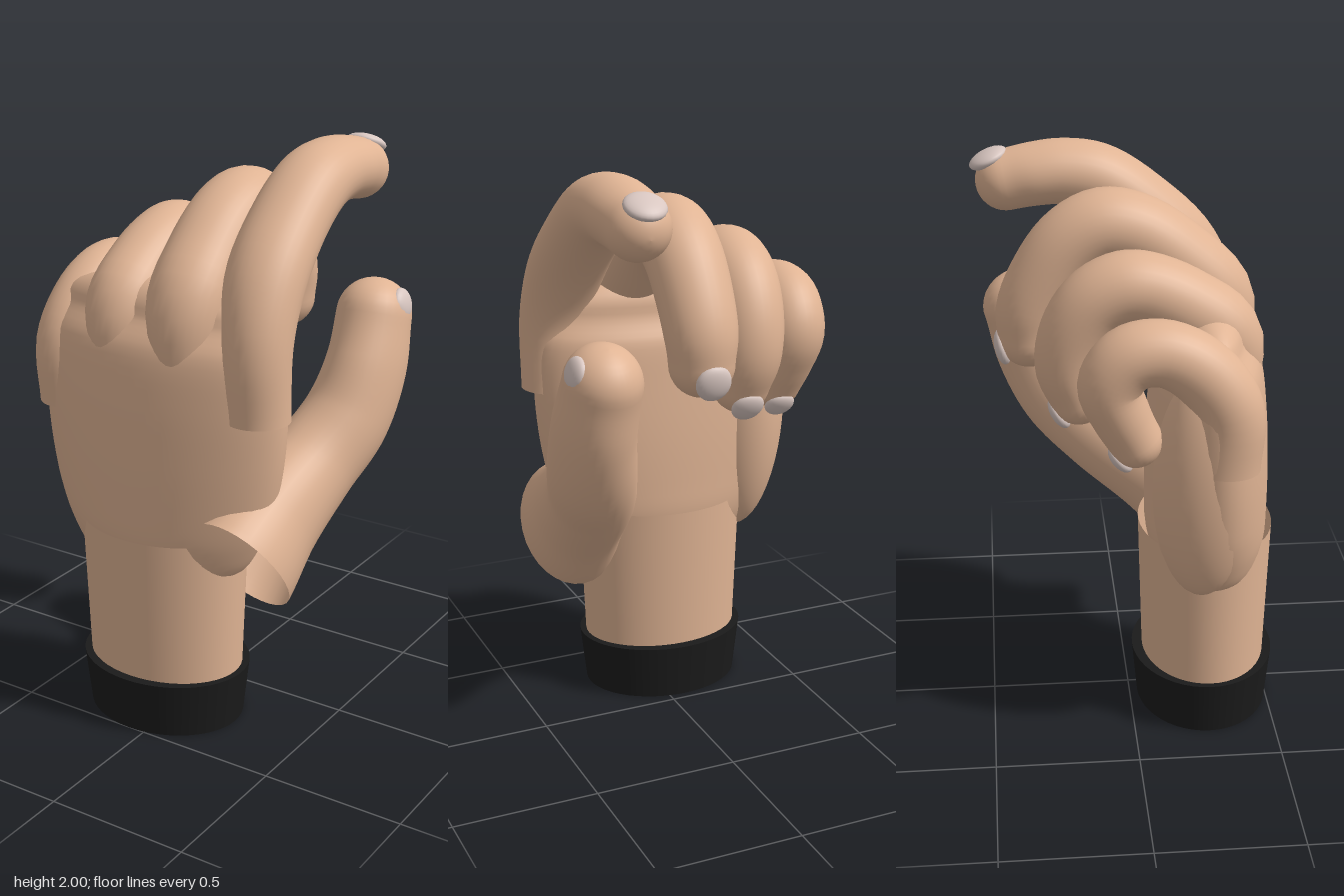
import * as THREE from 'three';

const skin = new THREE.MeshStandardMaterial({ color: 0xe0b494, side: THREE.DoubleSide });
skin.name = 'skin';
const nailColor = new THREE.MeshStandardMaterial({ color: 0xd8c6c0 });
nailColor.name = 'nail';
const black = new THREE.MeshStandardMaterial({ color: 0x1b1b1b });
black.name = 'cuff black';

const X = new THREE.Vector3(1, 0, 0);

// Sweep of elliptical sections; each point is [x, y, z, side radius, depth radius].
// The start stays open and the end gets a rounded cap.
function sweep(points, sides = 32) {
  const steps = 36, capSteps = 9;
  const path = new THREE.CatmullRomCurve3(points.map(p => new THREE.Vector3(p[0], p[1], p[2])));
  const radii = points.map(p => new THREE.Vector2(p[3], p[4]));
  const sizes = new THREE.SplineCurve(radii);
  const pos = [], index = [];
  const ring = (c, t, rb, rn) => {
    const b = X.clone().addScaledVector(t, -t.x).normalize();
    const n = t.clone().cross(b);
    for (let j = 0; j < sides; j++) {
      const a = j / sides * Math.PI * 2;
      const p = c.clone().addScaledVector(b, Math.cos(a) * rb).addScaledVector(n, Math.sin(a) * rn);
      pos.push(p.x, p.y, p.z);
    }
  };
  for (let i = 0; i <= steps; i++) {
    const s = sizes.getPoint(i / steps);
    ring(path.getPoint(i / steps), path.getTangent(i / steps), s.x, s.y);
  }
  // rounded end
  const tip = path.getPoint(1), dir = path.getTangent(1), last = radii[radii.length - 1];
  const height = Math.min(last.x, last.y);
  for (let i = 1; i <= capSteps; i++) {
    const a = i / capSteps * Math.PI / 2, k = Math.max(Math.cos(a), 0.002);
    ring(tip.clone().addScaledVector(dir, height * Math.sin(a)), dir, last.x * k, last.y * k);
  }
  for (let i = 0; i < steps + capSteps; i++) {
    for (let j = 0; j < sides; j++) {
      const a = i * sides + j, b = i * sides + (j + 1) % sides;
      index.push(a, b, b + sides, a, b + sides, a + sides);
    }
  }
  const geometry = new THREE.BufferGeometry();
  geometry.setAttribute('position', new THREE.Float32BufferAttribute(pos, 3));
  geometry.setIndex(index);
  geometry.computeVertexNormals();
  return { geometry, tip, dir, radius: height };
}

function add(parent, name, geometry, material) {
  const mesh = new THREE.Mesh(geometry, material);
  mesh.name = name;
  parent.add(mesh);
  return mesh;
}

// Finger with a domed nail whose root sinks into the outer side of its tip
function finger(parent, name, points, nail, outward, sink = 0.92) {
  const group = new THREE.Group();
  group.name = name;
  parent.add(group);
  const { geometry, tip, dir, radius } = sweep(points);
  add(group, name + 'Flesh', geometry, skin);
  const out = outward ?? X.clone().cross(dir);
  const seat = out.clone().addScaledVector(dir, 0.5).normalize();
  const up = out.clone().addScaledVector(dir, 0.25).normalize();
  const along = dir.clone().addScaledVector(up, -dir.dot(up)).normalize();
  const across = up.clone().cross(along);
  const mesh = add(group, name + 'Nail', new THREE.SphereGeometry(1, 24, 16), nailColor);
  mesh.scale.set(nail, 0.028, nail);
  mesh.quaternion.setFromRotationMatrix(new THREE.Matrix4().makeBasis(across, up, along));
  mesh.position.copy(tip).addScaledVector(seat, radius * sink);
}

export function createModel() {
  const hand = new THREE.Group();
  hand.name = 'hand';

  // cuff and wrist
  const cuff = add(hand, 'cuff', new THREE.CylinderGeometry(0.31, 0.287, 0.2, 48), black);
  cuff.position.set(-0.06, 0.1, 0.265);
  cuff.scale.z = 0.822;
  const wrist = add(hand, 'wrist', new THREE.CylinderGeometry(0.308, 0.287, 0.54, 48, 1, true), skin);
  wrist.position.set(-0.06, 0.45, 0.267);
  wrist.scale.z = 0.765;

  // palm and the long pad along its outer edge
  add(hand, 'palm', sweep([
    [-0.06, 0.53, 0.27, 0.23, 0.13],
    [-0.06, 0.6, 0.268, 0.32, 0.18],
    [-0.06, 0.7, 0.265, 0.378, 0.207],
    [-0.06, 0.82, 0.265, 0.425, 0.21],
    [-0.06, 1.0, 0.265, 0.46, 0.207],
    [-0.06, 1.2, 0.265, 0.475, 0.195],
    [-0.06, 1.36, 0.26, 0.465, 0.175],
    [-0.06, 1.46, 0.25, 0.4, 0.125],
  ], 48).geometry, skin);
  const pad = add(hand, 'palmPad', new THREE.SphereGeometry(1, 32, 24), skin);
  pad.scale.set(0.145, 0.43, 0.175);
  pad.position.set(-0.375, 1.0, 0.225);
  pad.rotation.z = 0.08;

  // fingers
  finger(hand, 'indexFinger', [
    [0.338, 1.17, 0.305, 0.108, 0.105],
    [0.332, 1.42, 0.302, 0.115, 0.112],
    [0.308, 1.605, 0.222, 0.135, 0.122],
    [0.298, 1.758, 0.075, 0.134, 0.118],
    [0.297, 1.862, -0.08, 0.13, 0.118],
    [0.297, 1.887, -0.2, 0.126, 0.112],
    [0.297, 1.88, -0.3, 0.122, 0.108],
    [0.297, 1.862, -0.395, 0.108, 0.105],
  ], 0.07);
  finger(hand, 'middleFinger', [
    [0.07, 1.25, 0.29, 0.1, 0.13],
    [0.065, 1.5, 0.302, 0.138, 0.135],
    [0.055, 1.645, 0.175, 0.138, 0.13],
    [0.05, 1.747, 0.03, 0.135, 0.127],
    [0.05, 1.768, -0.08, 0.135, 0.127],
    [0.05, 1.715, -0.185, 0.132, 0.125],
    [0.05, 1.6, -0.275, 0.128, 0.12],
    [0.05, 1.48, -0.33, 0.122, 0.115],
    [0.05, 1.385, -0.335, 0.11, 0.108],
  ], 0.062);
  finger(hand, 'ringFinger', [
    [-0.19, 1.25, 0.29, 0.095, 0.125],
    [-0.195, 1.46, 0.295, 0.128, 0.132],
    [-0.2, 1.565, 0.18, 0.127, 0.125],
    [-0.2, 1.63, 0.05, 0.125, 0.12],
    [-0.2, 1.637, -0.03, 0.125, 0.12],
    [-0.197, 1.59, -0.125, 0.122, 0.117],
    [-0.19, 1.48, -0.195, 0.118, 0.114],
    [-0.18, 1.36, -0.215, 0.112, 0.108],
    [-0.168, 1.25, -0.18, 0.1, 0.098],
  ], 0.058);
  finger(hand, 'littleFinger', [
    [-0.442, 1.09, 0.29, 0.098, 0.105],
    [-0.438, 1.3, 0.29, 0.11, 0.112],
    [-0.43, 1.43, 0.2, 0.112, 0.112],
    [-0.425, 1.495, 0.08, 0.11, 0.108],
    [-0.423, 1.48, -0.03, 0.11, 0.108],
    [-0.415, 1.39, -0.092, 0.11, 0.105],
    [-0.4, 1.28, -0.058, 0.105, 0.097],
    [-0.388, 1.18, -0.008, 0.094, 0.089],
  ], 0.054);

  // thumb, flared at its base
  finger(hand, 'thumb', [
    [0.28, 0.64, 0.31, 0.18, 0.235],
    [0.3, 0.76, 0.14, 0.16, 0.198],
    [0.335, 0.895, -0.06, 0.152, 0.17],
    [0.385, 1.03, -0.2, 0.148, 0.168],
    [0.41, 1.2, -0.29, 0.137, 0.163],
    [0.402, 1.368, -0.352, 0.13, 0.14],
  ], 0.058, X, 0.84);

  return hand;
}
